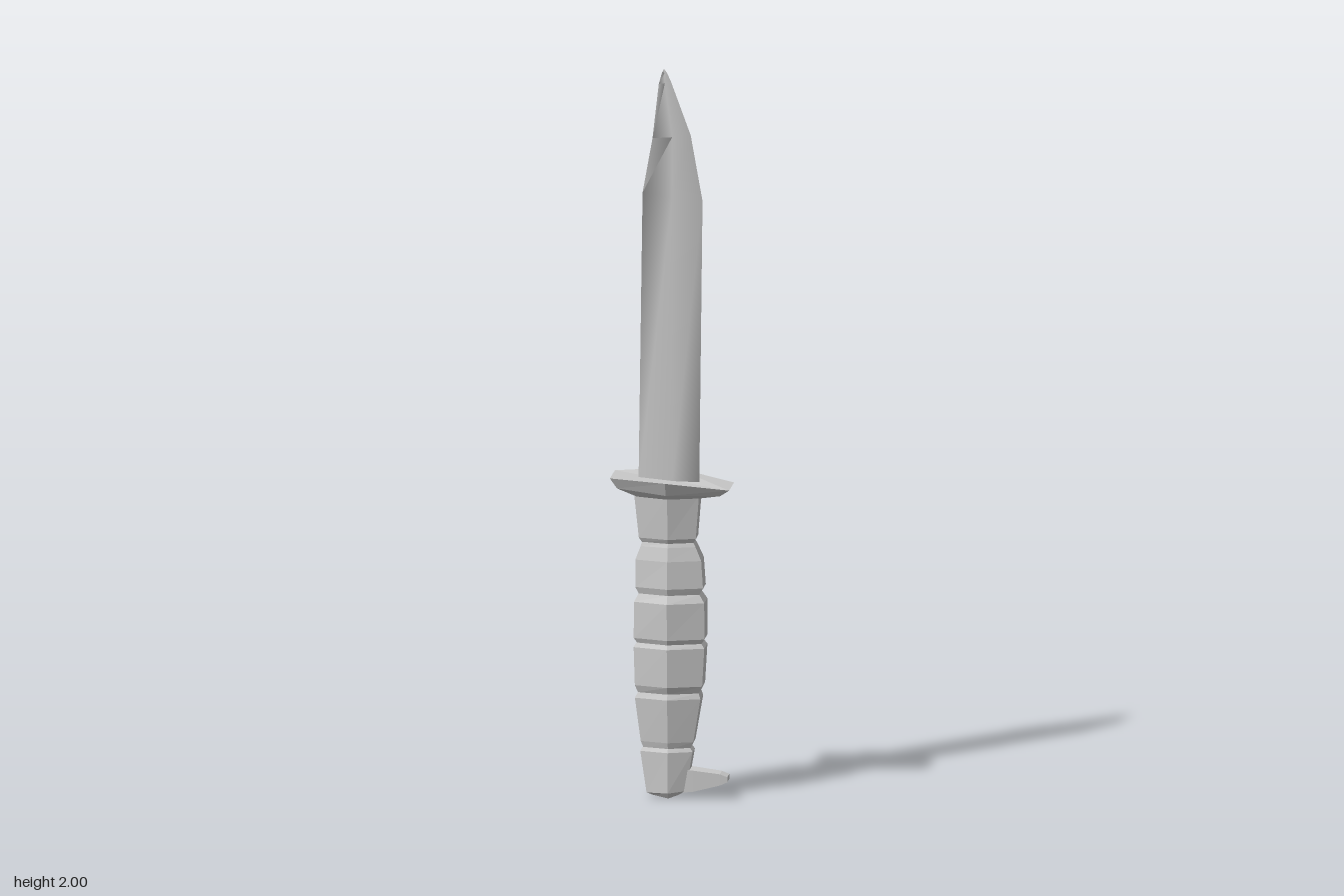
import * as THREE from 'three';

// Skin a stack of equal-length rings (counter-clockwise seen from the far end), with caps.
function loft(rings, flat) {
  const n = rings[0].length, index = [];
  for (let r = 0; r < rings.length - 1; r++) {
    for (let i = 0; i < n; i++) {
      const a = r * n + i, b = r * n + (i + 1) % n;
      index.push(a, b, b + n, a, b + n, a + n);
    }
  }
  const top = (rings.length - 1) * n;
  for (let i = 1; i < n - 1; i++) {
    index.push(0, i + 1, i, top, top + i, top + i + 1);
  }
  let geometry = new THREE.BufferGeometry();
  geometry.setAttribute('position', new THREE.Float32BufferAttribute(rings.flat(2), 3));
  geometry.setIndex(index);
  if (flat) geometry = geometry.toNonIndexed();
  geometry.computeVertexNormals();
  return geometry;
}

// Stretched hexagon: left x, right x, ridge depth, side half depth, heights at left / ridge / right.
function hexRing(xl, xr, d, s, yl, ym = yl, yr = yl) {
  const m = -0.007;
  return [[xr, yr, s], [xr, yr, -s], [m, ym, -d], [xl, yl, -s], [xl, yl, s], [m, ym, d]];
}

export function createModel() {
  const model = new THREE.Group();
  const add = (name, geometry, flatShading) => {
    const material = new THREE.MeshStandardMaterial({ color: 0xcccccc, flatShading });
    const mesh = new THREE.Mesh(geometry, material);
    mesh.name = name;
    model.add(mesh);
  };

  // Blade: thin diamond sections [y left, x left, y right, x right, thickness]
  const blade = [
    [0.86, -0.092, 0.85, 0.073, 0.006],
    [1.66, -0.081, 1.64, 0.082, 0.006],
    [1.81, -0.054, 1.82, 0.05, 0.005],
    [1.96, -0.037, 1.965, -0.003, 0.003],
    [1.992, -0.028, 1.99, -0.014, 0.0015],
    [2.0, -0.023, 2.0, -0.021, 0.0005],
  ].map(([yl, xl, yr, xr, t]) => {
    const x = THREE.MathUtils.clamp(0, xl + 0.007, xr - 0.007);
    const mx = xr - xl < 0.04 ? (xl + xr) / 2 : x, my = (yl + yr) / 2;
    return [[xr, yr, 0], [mx, my, -t], [xl, yl, 0], [mx, my, t]];
  });
  add('blade', loft(blade, false), false);

  // Guard: hexagonal plate, dipping at one end, bevelled down to the grip
  add('guard', loft([
    hexRing(-0.09, 0.08, 0.062, 0.033, 0.828),
    hexRing(-0.145, 0.135, 0.095, 0.047, 0.853, 0.845, 0.838),
    hexRing(-0.163, 0.161, 0.114, 0.057, 0.882, 0.882, 0.856),
  ], true), true);

  // Grip: swelling segments with narrow grooves [y, x left, x right, ridge depth]
  const grip = [
    [0.135, -0.075, 0.05, 0.044],
    [0.155, -0.083, 0.06, 0.05],
    [0.275, -0.098, 0.08, 0.063],
    [0.29, -0.09, 0.075, 0.056],
    [0.31, -0.098, 0.085, 0.066],
    [0.415, -0.101, 0.091, 0.07],
    [0.427, -0.092, 0.083, 0.062],
    [0.44, -0.101, 0.091, 0.068],
    [0.54, -0.1, 0.091, 0.071],
    [0.562, -0.088, 0.077, 0.057],
    [0.58, -0.097, 0.087, 0.063],
    [0.655, -0.097, 0.082, 0.059],
    [0.692, -0.083, 0.066, 0.05],
    [0.703, -0.08, 0.06, 0.045],
    [0.715, -0.088, 0.067, 0.052],
    [0.835, -0.1, 0.076, 0.063],
  ].map(([y, xl, xr, d]) => hexRing(xl, xr, d, d * 0.52, y));
  add('grip', loft(grip, true), true);

  // Pommel
  add('pommel', loft([
    hexRing(-0.05, 0.015, 0.035, 0.018, 0.006, 0, 0.006),
    hexRing(-0.067, 0.04, 0.048, 0.027, 0.014, 0.016, 0.02),
    hexRing(-0.084, 0.058, 0.052, 0.027, 0.128),
    hexRing(-0.075, 0.05, 0.044, 0.023, 0.14),
  ], true), true);

  // Hook: tapering spur on the pommel [x, bottom, top, half depth]
  const hook = [
    [-0.01, 0.012, 0.085, 0.03],
    [0.06, 0.019, 0.077, 0.029],
    [0.132, 0.037, 0.068, 0.025],
    [0.152, 0.046, 0.06, 0.023],
  ].map(([x, b, t, d]) => [[x, t, -d], [x, t, d], [x, b, d], [x, b, -d]]);
  add('pommelHook', loft(hook, true), true);

  return model;
}
